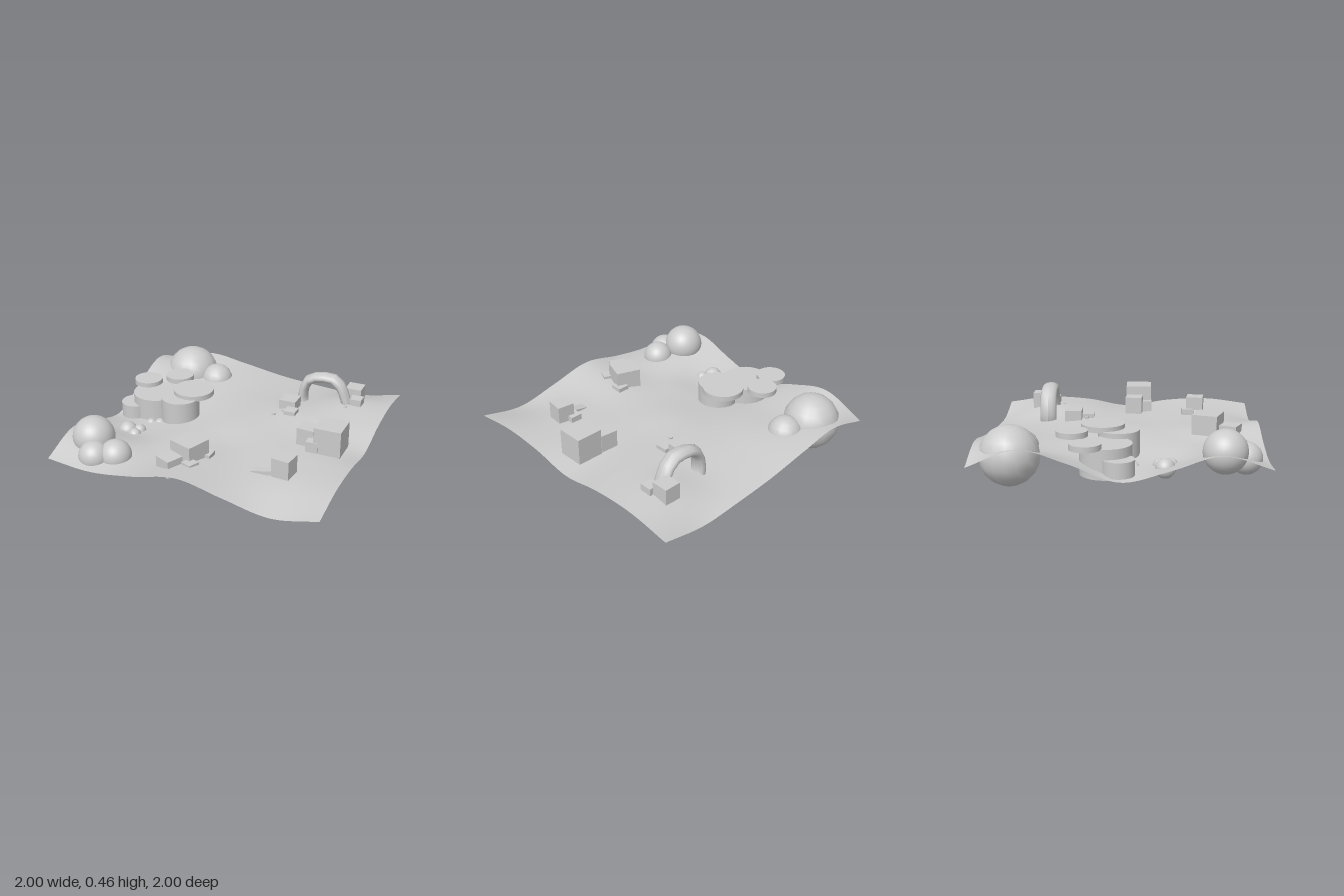
import * as THREE from 'three';

const grey = new THREE.MeshStandardMaterial({ color: 0xcccccc });
const groundGrey = new THREE.MeshStandardMaterial({ color: 0xcccccc, side: THREE.DoubleSide });

// ground heights on a 7 x 7 lattice, rows run from back to front
const HEIGHTS = [
  [0.21, 0.295, 0.25, 0.195, 0.165, 0.15, 0.21],
  [0.33, 0.25, 0.235, 0.21, 0.205, 0.255, 0.255],
  [0.24, 0.20, 0.215, 0.23, 0.24, 0.25, 0.24],
  [0.12, 0.15, 0.195, 0.235, 0.225, 0.215, 0.185],
  [0.20, 0.16, 0.20, 0.22, 0.22, 0.225, 0.235],
  [0.30, 0.24, 0.205, 0.25, 0.215, 0.215, 0.25],
  [0.21, 0.18, 0.22, 0.285, 0.215, 0.15, 0.21],
];

// smooth curve through evenly spaced values, t from 0 to 1
function smooth(values, t) {
  const n = values.length - 1;
  const i = Math.min(n - 1, Math.floor(t * n));
  const f = t * n - i;
  const b = values[i], c = values[i + 1];
  const a = i > 0 ? values[i - 1] : 2 * b - c;
  const d = i < n - 1 ? values[i + 2] : 2 * c - b;
  return b + 0.5 * f * (c - a + f * (2 * a - 5 * b + 4 * c - d + f * (3 * (b - c) + d - a)));
}

function groundHeight(x, z) {
  const u = THREE.MathUtils.clamp((x + 1) / 2, 0, 1);
  const v = THREE.MathUtils.clamp((z + 1) / 2, 0, 1);
  return smooth(HEIGHTS.map((row) => smooth(row, u)), v);
}

function add(parent, name, geometry, x, y, z, turn = 0) {
  const mesh = new THREE.Mesh(geometry, grey);
  mesh.name = name;
  mesh.position.set(x, y, z);
  mesh.rotation.y = turn;
  parent.add(mesh);
  return mesh;
}

function section(parent, name) {
  const group = new THREE.Group();
  group.name = name;
  parent.add(group);
  return group;
}

export function createModel() {
  const model = new THREE.Group();
  model.name = 'landscape';

  // rolling ground sheet
  const ground = new THREE.PlaneGeometry(2, 2, 60, 60).rotateX(-Math.PI / 2);
  const p = ground.attributes.position;
  for (let i = 0; i < p.count; i++) p.setY(i, groundHeight(p.getX(i), p.getZ(i)));
  ground.computeVertexNormals();
  const sheet = add(model, 'ground', ground, 0, 0, 0);
  sheet.material = groundGrey;

  // rounded boulders: x, y, z, radius, sides
  const boulders = section(model, 'boulders');
  [
    [-0.725, 0.22, -0.75, 0.21, 16], [-0.48, 0.205, -0.705, 0.13, 16],
    [-0.805, 0.28, 0.695, 0.152, 32], [-0.585, 0.215, 0.775, 0.116, 32], [-0.72, 0.213, 0.84, 0.112, 32],
    [-0.76, 0.148, 0.30, 0.07, 24], [-0.68, 0.145, 0.265, 0.05, 24], [-0.68, 0.145, 0.34, 0.05, 24],
    [-0.675, 0.125, 0.09, 0.04, 20], [-0.61, 0.125, 0.07, 0.044, 20],
  ].forEach(([x, y, z, r, n]) =>
    add(boulders, 'boulder', new THREE.SphereGeometry(r, n, Math.round(n * 0.6)), x, y, z));

  // round plateaus and the thin slabs above them: x, z, radius, bottom, top
  const plateaus = section(model, 'plateaus');
  [
    [-0.72, -0.10, 0.18, 0.10, 0.31], [-0.475, -0.02, 0.145, 0.14, 0.345], [-0.86, -0.01, 0.11, 0.13, 0.24],
    [-0.415, -0.135, 0.155, 0.335, 0.375], [-0.86, -0.23, 0.11, 0.305, 0.345], [-0.635, -0.335, 0.11, 0.335, 0.375],
  ].forEach(([x, z, r, y0, y1], i) =>
    add(plateaus, i < 3 ? 'plateau' : 'slab', new THREE.CylinderGeometry(r, r, y1 - y0, 40), x, (y0 + y1) / 2, z));

  // stone ring standing half in the ground: a flattened band, uneven along its length
  const ring = new THREE.TorusGeometry(0.176, 0.037, 12, 16).scale(1, 1, 1.7);
  const q = ring.attributes.position;
  for (let i = 0; i < q.count; i++) {
    const a = Math.atan2(q.getY(i), q.getX(i));
    const k = 1 + 0.035 * Math.cos(5 * a + 0.9);
    q.setXY(i, q.getX(i) * k, q.getY(i) * k);
  }
  ring.computeVertexNormals();
  add(model, 'arch', ring, 0.488, 0.266, -0.605);

  // block clusters: x, z, width, bottom, top, turn
  const blocks = section(model, 'blocks');
  [
    [0.775, 0.10, 0.20, 0.215, 0.415, 0], [0.595, 0.065, 0.13, 0.21, 0.35, -0.1], [0.665, 0.16, 0.09, 0.21, 0.30, 0],
    [0.71, -0.70, 0.125, 0.235, 0.36, 0], [0.755, -0.595, 0.09, 0.225, 0.315, 0], [0.69, -0.51, 0.02, 0.245, 0.27, 0],
    [0.28, -0.40, 0.13, 0.18, 0.31, 0], [0.33, -0.29, 0.09, 0.18, 0.27, 0],
    [0.265, -0.30, 0.025, 0.23, 0.255, 0], [0.215, -0.22, 0.025, 0.225, 0.25, 0],
    [-0.08, 0.62, 0.19, 0.17, 0.37, -0.35], [-0.157, 0.78, 0.13, 0.175, 0.305, -0.42],
    [0.02, 0.56, 0.09, 0.175, 0.265, 0], [-0.015, 0.75, 0.085, 0.18, 0.275, -0.4],
    [0.595, 0.555, 0.13, 0.19, 0.355, -0.12], [0.545, 0.49, 0.09, 0.175, 0.265, 0],
  ].forEach(([x, z, w, y0, y1, turn]) =>
    add(blocks, 'block', new THREE.BoxGeometry(w, y1 - y0, w), x, (y0 + y1) / 2, z, turn));

  // leaning plank beside the front block
  const plank = add(blocks, 'plank', new THREE.BoxGeometry(0.17, 0.03, 0.065), 0.455, 0.222, 0.577);
  plank.rotation.z = 0.2;

  return model;
}
